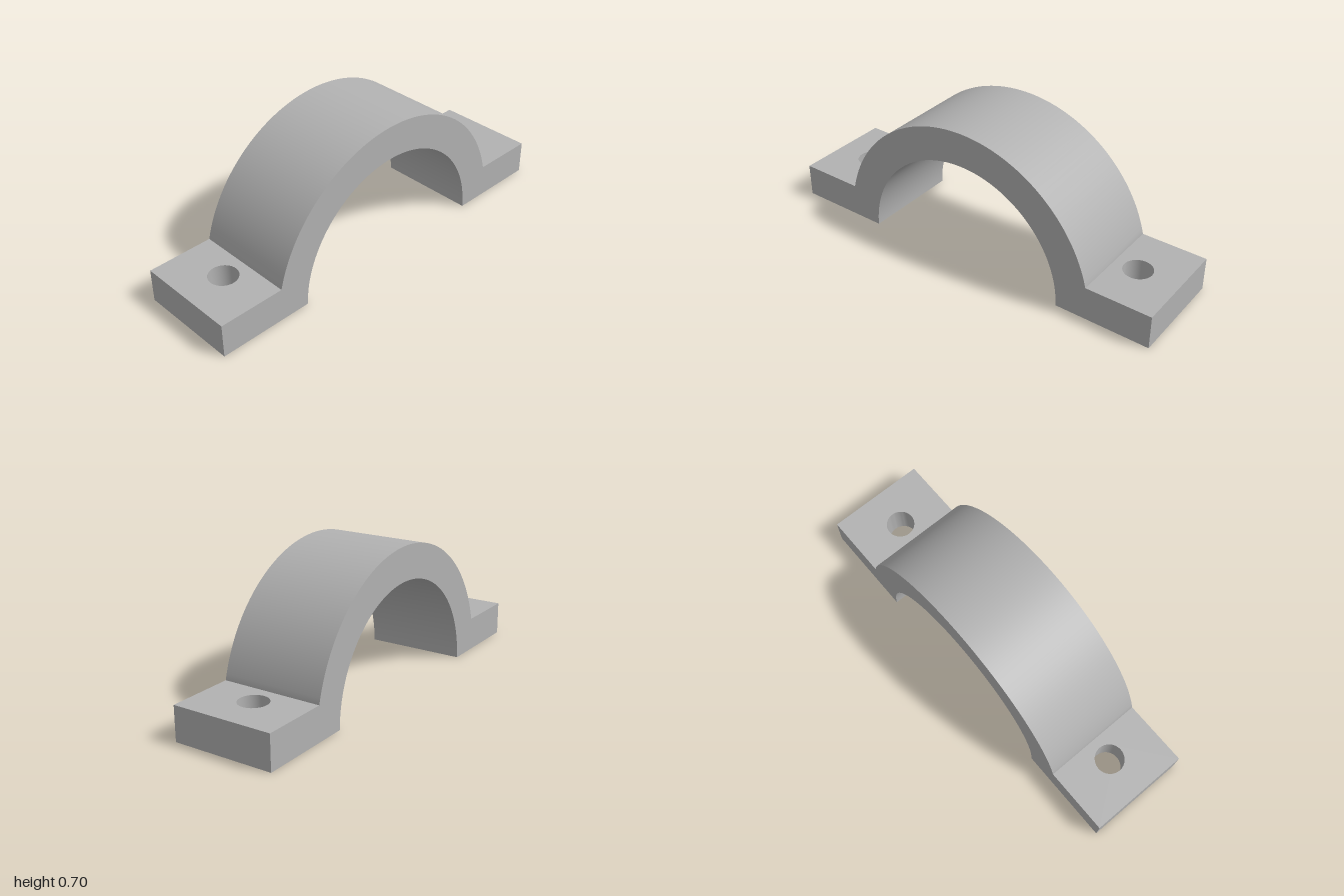
import * as THREE from 'three';
import { toCreasedNormals } from 'three/addons/utils/BufferGeometryUtils.js';

const OUTER = 0.697, INNER = 0.53, FLANGE_H = 0.167, DEPTH = 0.5;
const JOINT = Math.sqrt(OUTER ** 2 - FLANGE_H ** 2); // where the arch meets a flange
const HOLE_X = 0.793, HOLE_R = 0.07;

// Remove the hidden walls where the arch and flanges touch
function openJoints(geometry) {
  const p = geometry.attributes.position;
  const keep = [];
  for (let i = 0; i < p.count; i += 3) {
    const hidden = [i, i + 1, i + 2].every((k) => Math.abs(Math.abs(p.getX(k)) - JOINT) < 1e-5);
    if (!hidden) keep.push(i, i + 1, i + 2);
  }
  geometry.setIndex(keep);
  return geometry;
}

function extrude(shape, depth, curveSegments) {
  const geometry = new THREE.ExtrudeGeometry(shape, { depth, curveSegments, bevelEnabled: false });
  return openJoints(toCreasedNormals(geometry, Math.PI / 6));
}

export function createModel() {
  const group = new THREE.Group();
  group.name = 'pipeClamp';
  const grey = new THREE.MeshStandardMaterial({ color: 0xb2b2b2 });
  grey.name = 'grey';

  // Half-round saddle with straight feet
  const start = Math.asin(FLANGE_H / OUTER);
  const profile = new THREE.Shape();
  profile.moveTo(INNER, 0);
  profile.lineTo(JOINT, 0);
  profile.absarc(0, 0, OUTER, start, Math.PI - start, false);
  profile.lineTo(-JOINT, 0);
  profile.absarc(0, 0, INNER, Math.PI, 0, true);
  const arch = new THREE.Mesh(extrude(profile, DEPTH, 32), grey);
  arch.name = 'arch';
  arch.position.z = -DEPTH / 2;
  group.add(arch);

  // Flat mounting flanges, each with a bolt hole
  const plan = new THREE.Shape();
  plan.moveTo(JOINT, -DEPTH / 2);
  plan.lineTo(1, -DEPTH / 2);
  plan.lineTo(1, DEPTH / 2);
  plan.lineTo(JOINT, DEPTH / 2);
  plan.closePath();
  plan.holes.push(new THREE.Path().absarc(HOLE_X, 0, HOLE_R, 0, Math.PI * 2, true));
  const flangeGeometry = extrude(plan, FLANGE_H, 24).rotateX(-Math.PI / 2);
  for (const [name, turn] of [['leftFlange', 0], ['rightFlange', Math.PI]]) {
    const flange = new THREE.Mesh(flangeGeometry, grey);
    flange.name = name;
    flange.rotation.y = turn;
    group.add(flange);
  }
  return group;
}
